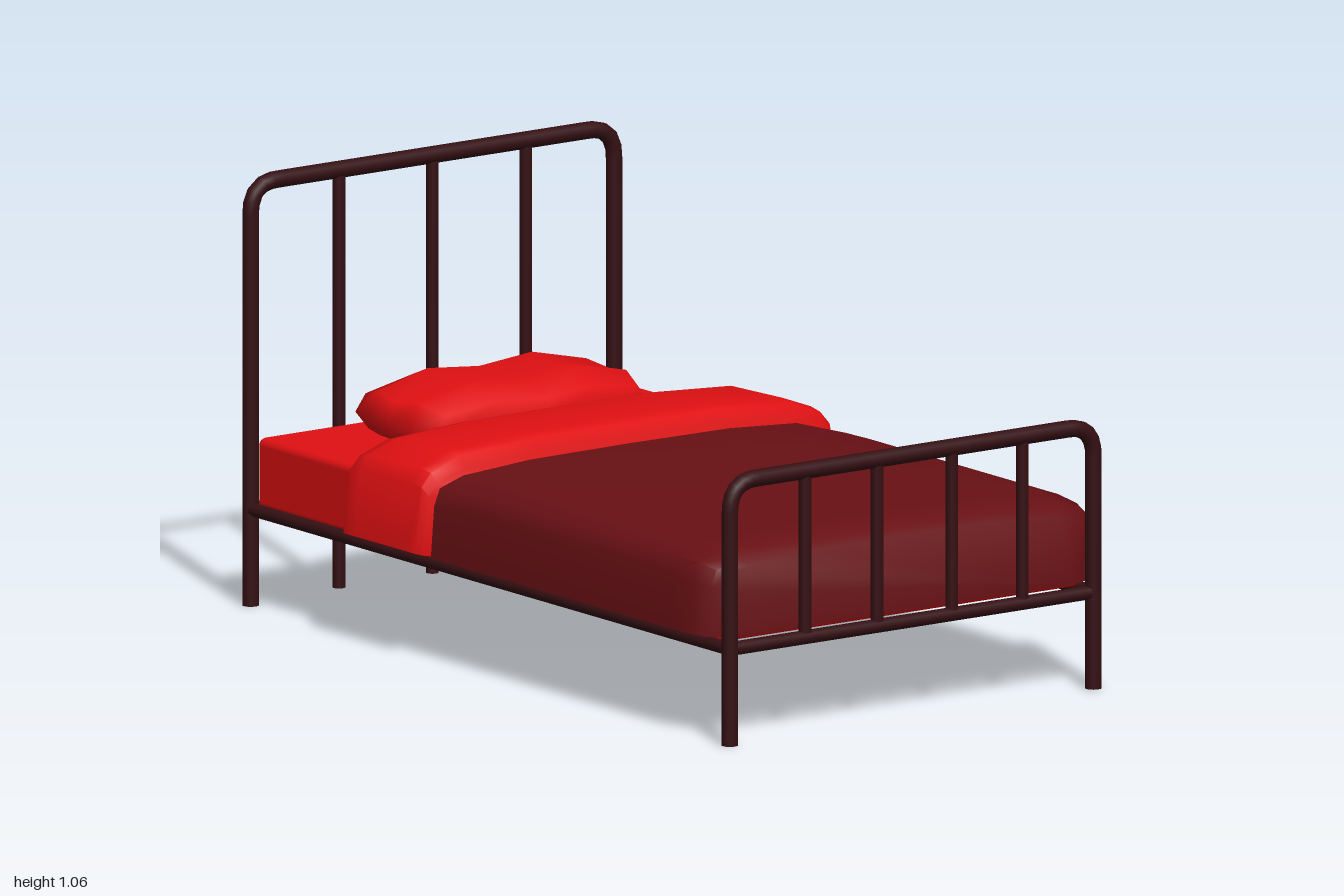
import * as THREE from 'three';
import { mergeVertices, toCreasedNormals } from 'three/addons/utils/BufferGeometryUtils.js';
import { RoundedBoxGeometry } from 'three/addons/geometries/RoundedBoxGeometry.js';

const frameMat = new THREE.MeshStandardMaterial({ color: 0x351013 });
const sheetMat = new THREE.MeshStandardMaterial({ color: 0xe01012 });
const blanketMat = new THREE.MeshStandardMaterial({ color: 0x681014 });

const POST_X = 0.545, END_Z = 0.979, RAIL_Y = 0.238;

function add(parent, name, geometry, material) {
  const mesh = new THREE.Mesh(geometry, material);
  mesh.name = name;
  parent.add(mesh);
  return mesh;
}

// Straight round bar between two points
function bar(parent, name, from, to, radius) {
  const a = new THREE.Vector3(...from), b = new THREE.Vector3(...to);
  const mesh = add(parent, name, new THREE.CylinderGeometry(radius, radius, a.distanceTo(b), 10), frameMat);
  mesh.position.copy(a).lerp(b, 0.5);
  mesh.quaternion.setFromUnitVectors(new THREE.Vector3(0, 1, 0), b.sub(a).normalize());
}

// Bent tube hoop with legs, upright bars and a low cross rail
function bedEnd(name, z, top, barXs, barBottom) {
  const group = new THREE.Group();
  group.name = name;
  const r = 0.021, bend = 0.075, y = top - r;
  const v = (px, py) => new THREE.Vector3(px, py, 0);
  const path = new THREE.CurvePath();
  path.add(new THREE.LineCurve3(v(-POST_X, 0), v(-POST_X, y - bend)));
  path.add(new THREE.QuadraticBezierCurve3(v(-POST_X, y - bend), v(-POST_X, y), v(-POST_X + bend, y)));
  path.add(new THREE.LineCurve3(v(-POST_X + bend, y), v(POST_X - bend, y)));
  path.add(new THREE.QuadraticBezierCurve3(v(POST_X - bend, y), v(POST_X, y), v(POST_X, y - bend)));
  path.add(new THREE.LineCurve3(v(POST_X, y - bend), v(POST_X, 0)));
  add(group, 'hoop', new THREE.TubeGeometry(path, 110, r, 10), frameMat);
  for (const s of [-1, 1]) {
    const cap = add(group, 'footCap', new THREE.CircleGeometry(r, 10), frameMat);
    cap.rotation.x = Math.PI / 2;
    cap.position.x = s * POST_X;
  }
  for (const x of barXs) bar(group, 'uprightBar', [x, barBottom, 0], [x, y, 0], 0.016);
  bar(group, 'crossRail', [-POST_X, RAIL_Y, 0], [POST_X, RAIL_Y, 0], 0.017);
  group.position.z = z;
  return group;
}

// Cloth draped over the bed: a mirrored half profile carried through
// sections of [z, width scale, height scale]
function drape(half, sections) {
  const mirrored = half.slice(0, -1).reverse().map(([x, y]) => [-x, y]);
  const profile = [...half, ...mirrored];
  const n = profile.length, base = half[0][1];
  const positions = [], index = [];
  for (const [z, w, h] of sections)
    for (const [x, y] of profile) positions.push(x * w, base + (y - base) * h, z);
  for (let i = 0; i < sections.length - 1; i++)
    for (let j = 0; j < n; j++) {
      const a = i * n + j, b = i * n + (j + 1) % n;
      index.push(a, b, a + n, b, b + n, a + n);
    }
  const last = (sections.length - 1) * n;
  for (let j = 1; j < n - 1; j++) {
    index.push(0, j + 1, j);
    index.push(last, last + j, last + j + 1);
  }
  const geo = new THREE.BufferGeometry();
  geo.setAttribute('position', new THREE.Float32BufferAttribute(positions, 3));
  geo.setIndex(index);
  return toCreasedNormals(geo, 0.9);
}

// Plump pillow with four soft bumps and a dented middle
function pillowGeometry() {
  let geo = new THREE.BoxGeometry(2, 2, 2, 4, 2, 4);
  geo.deleteAttribute('uv');
  geo.deleteAttribute('normal');
  geo = mergeVertices(geo);
  const p = geo.attributes.position;
  const lift = t => (t < 0.25 ? 0.85 : t < 0.75 ? 1 : 0.66);
  for (let i = 0; i < p.count; i++) {
    const x = p.getX(i), y = p.getY(i), z = p.getZ(i);
    const inset = y === 0 ? 1 : y > 0 ? 0.93 : 0.9;
    const px = x * 0.345 * (1 - 0.1 * z * z) * inset;
    const pz = z * 0.2 * (1 - 0.12 * x * x) * inset;
    const height = y > 0 ? 0.462 + 0.103 * lift(Math.abs(x)) * lift(Math.abs(z)) : y < 0 ? 0.415 : 0.462;
    p.setXYZ(i, px, height, pz);
  }
  geo.computeVertexNormals();
  return geo;
}

export function createModel() {
  const bed = new THREE.Group();
  bed.name = 'bed';

  // Metal frame
  bed.add(bedEnd('headboard', -END_Z, 1.065, [-0.28, 0, 0.28], 0.01));
  bed.add(bedEnd('footboard', END_Z, 0.672, [-0.32, -0.104, 0.12, 0.332], 0.25));
  for (const s of [-1, 1])
    bar(bed, 'sideRail', [s * POST_X, RAIL_Y, -END_Z], [s * POST_X, RAIL_Y, END_Z], 0.017);

  // Mattress
  const mattress = add(bed, 'mattress', new RoundedBoxGeometry(1.09, 0.178, 1.89, 2, 0.02), sheetMat);
  mattress.position.set(0, 0.331, -0.012);

  // Blanket
  add(bed, 'blanket', drape(
    [[0.545, 0.257], [0.597, 0.265], [0.587, 0.4], [0.57, 0.445], [0.5, 0.469], [0.3, 0.483], [0, 0.485]],
    [[-0.3, 1, 0.93], [-0.18, 1, 0.945], [0.03, 1, 1], [0.8, 1, 1], [0.88, 0.995, 0.96],
      [0.935, 0.97, 0.9], [0.953, 0.93, 0.82]]), blanketMat);

  // Folded-back sheet
  add(bed, 'foldedSheet', drape(
    [[0.57, 0.262], [0.632, 0.278], [0.613, 0.445], [0.585, 0.478], [0.5, 0.51], [0.28, 0.524], [0, 0.526]],
    [[-0.494, 0.985, 0.87], [-0.482, 0.997, 0.93], [-0.44, 1, 0.97], [-0.23, 1, 1],
      [-0.19, 0.998, 0.97], [-0.172, 0.985, 0.86]]), sheetMat);

  // Pillow
  add(bed, 'pillow', pillowGeometry(), sheetMat).position.set(0.015, 0, -0.715);

  return bed;
}
